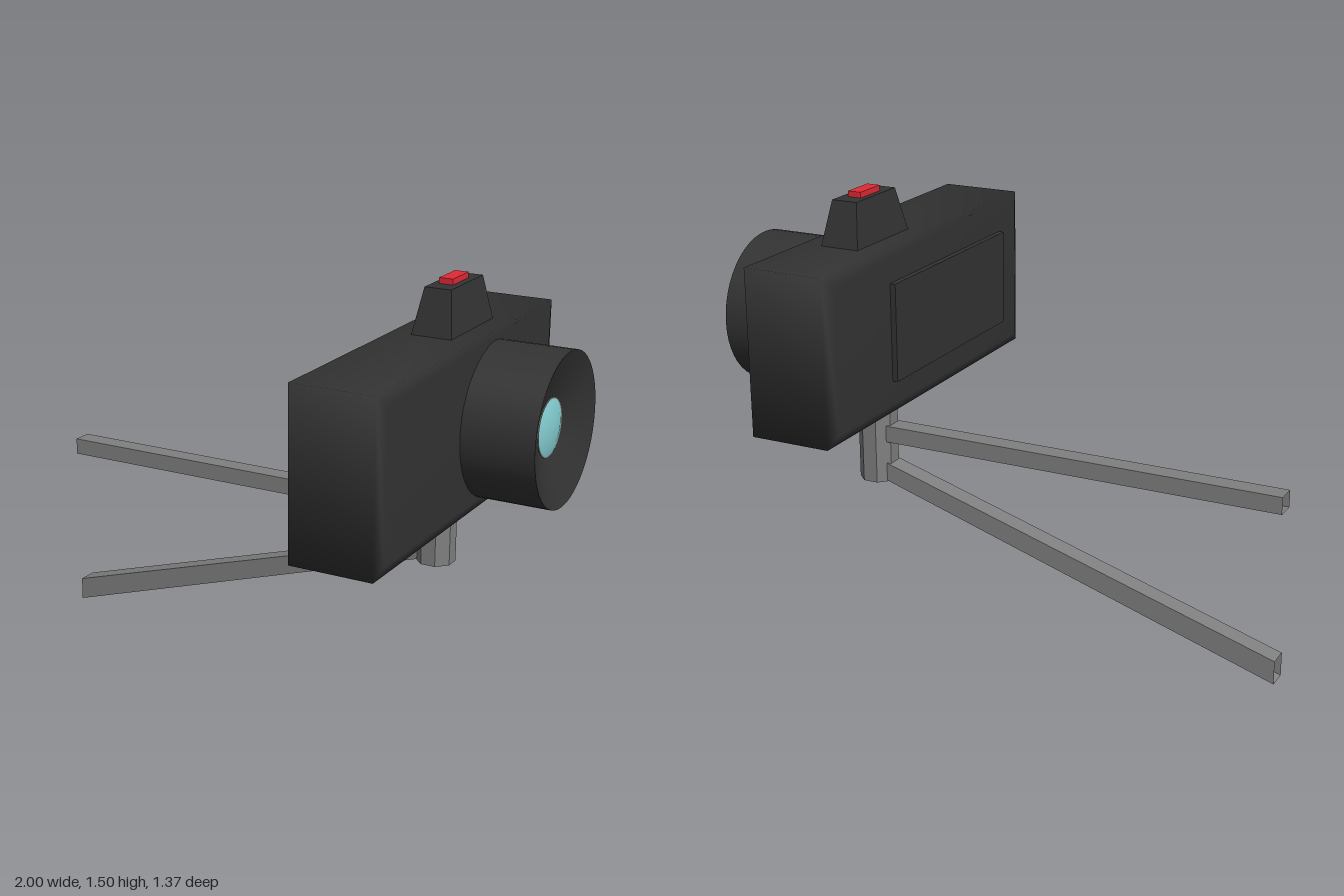
import * as THREE from 'three';

const mat = (name, color, side = THREE.FrontSide) => {
  const m = new THREE.MeshStandardMaterial({ color, side });
  m.name = name;
  return m;
};

// Corner signs of a rectangle, counter-clockwise about the loft axis
const CORNERS = [[-1, -1], [1, -1], [1, 1], [-1, 1]];

// Rectangle across the x axis, and across the y axis
const rectX = (x, y, z, hy, hz) => CORNERS.map(([a, b]) => [x, y + a * hy, z + b * hz]);
const rectY = (y, z, x, hz, hx) => CORNERS.map(([a, b]) => [x + b * hx, y, z + a * hz]);

// Joins four-cornered sections into one skin with shared corners
function loft(sections, capped = true) {
  const index = [];
  const last = (sections.length - 1) * 4;
  for (let k = 0; k < last; k += 4) {
    for (let i = 0; i < 4; i++) {
      const a = k + i, b = k + (i + 1) % 4;
      index.push(a, b, b + 4, a, b + 4, a + 4);
    }
  }
  if (capped) {
    index.push(0, 2, 1, 0, 3, 2);
    index.push(last, last + 1, last + 2, last, last + 2, last + 3);
  }
  const g = new THREE.BufferGeometry();
  g.setAttribute('position', new THREE.Float32BufferAttribute(sections.flat(2), 3));
  g.setIndex(index);
  g.computeVertexNormals();
  return g;
}

const flat = (g) => {
  const f = g.index ? g.toNonIndexed() : g;
  f.computeVertexNormals();
  return f;
};

export function createModel() {
  const root = new THREE.Group();
  root.name = 'cameraOnTripod';

  const black = mat('bodyBlack', 0x333333);
  const grey = mat('tripodGrey', 0x808080, THREE.DoubleSide);
  const glass = mat('lensGlass', 0x85d0d4);
  const red = mat('buttonRed', 0xe02a36);

  const add = (name, geometry, material, x = 0, y = 0, z = 0, parent = root) => {
    const mesh = new THREE.Mesh(geometry, material);
    mesh.name = name;
    mesh.position.set(x, y, z);
    parent.add(mesh);
    return mesh;
  };

  // Body: box with softly bevelled front and back faces
  const cy = 1.03;
  add('body', loft([
    rectX(0.41, cy, 0, 0.255, 0.64),
    rectX(0.43, cy, 0, 0.295, 0.685),
    rectX(0.725, cy, 0, 0.295, 0.685),
    rectX(0.74, cy, 0, 0.255, 0.64),
  ]), black);

  // Raised panel on the back
  add('backPanel', new THREE.BoxGeometry(0.04, 0.35, 0.8), black, 0.41, 1.035, 0.11);

  // Viewfinder hump with the shutter button on top
  add('viewfinder', flat(loft([
    rectY(1.32, -0.17, 0.577, 0.17, 0.073),
    rectY(1.48, -0.17, 0.577, 0.127, 0.048),
  ])), black);
  add('shutterButton', new THREE.BoxGeometry(0.05, 0.03, 0.125), red, 0.575, 1.485, -0.172);

  // Lens, turned about its own axis and then pointed along +x
  const lens = new THREE.Group();
  lens.name = 'lens';
  lens.position.set(0.74, cy, -0.16);
  lens.rotation.z = -Math.PI / 2;
  root.add(lens);
  add('lensBarrel', new THREE.CylinderGeometry(0.268, 0.268, 0.28, 48, 1, true), black, 0, 0.12, 0, lens);
  const cone = [[0.268, 0.26], [0.1, 0.2]].map(([r, h]) => new THREE.Vector2(r, h));
  add('lensCone', new THREE.LatheGeometry(cone, 48), black, 0, 0, 0, lens);
  add('lensRing', new THREE.CylinderGeometry(0.103, 0.103, 0.01, 32), grey, 0, 0.199, 0, lens);
  const dome = [[0.098, 0.204], [0.07, 0.212], [0.035, 0.216], [0, 0.218]]
    .map(([r, h]) => new THREE.Vector2(r, h));
  add('lensGlass', new THREE.LatheGeometry(dome, 32), glass, 0, 0, 0, lens);

  // Octagonal tripod head
  const head = flat(new THREE.CylinderGeometry(0.07, 0.07, 0.28, 8).rotateY(Math.PI / 8));
  add('tripodHead', head, grey, 0.523, 0.6, -0.21);

  // Two hollow square legs with upright cut ends
  const leg = (name, y0, h0, y1, h1) => add(name, flat(loft([
    rectX(-1, y0, -0.212, h0, 0.036),
    rectX(0.48, y1, -0.212, h1, 0.036),
  ], false)), grey);
  leg('upperLeg', 0.64, 0.03, 0.64, 0.03);
  leg('lowerLeg', 0.042, 0.042, 0.5, 0.033);

  return root;
}
